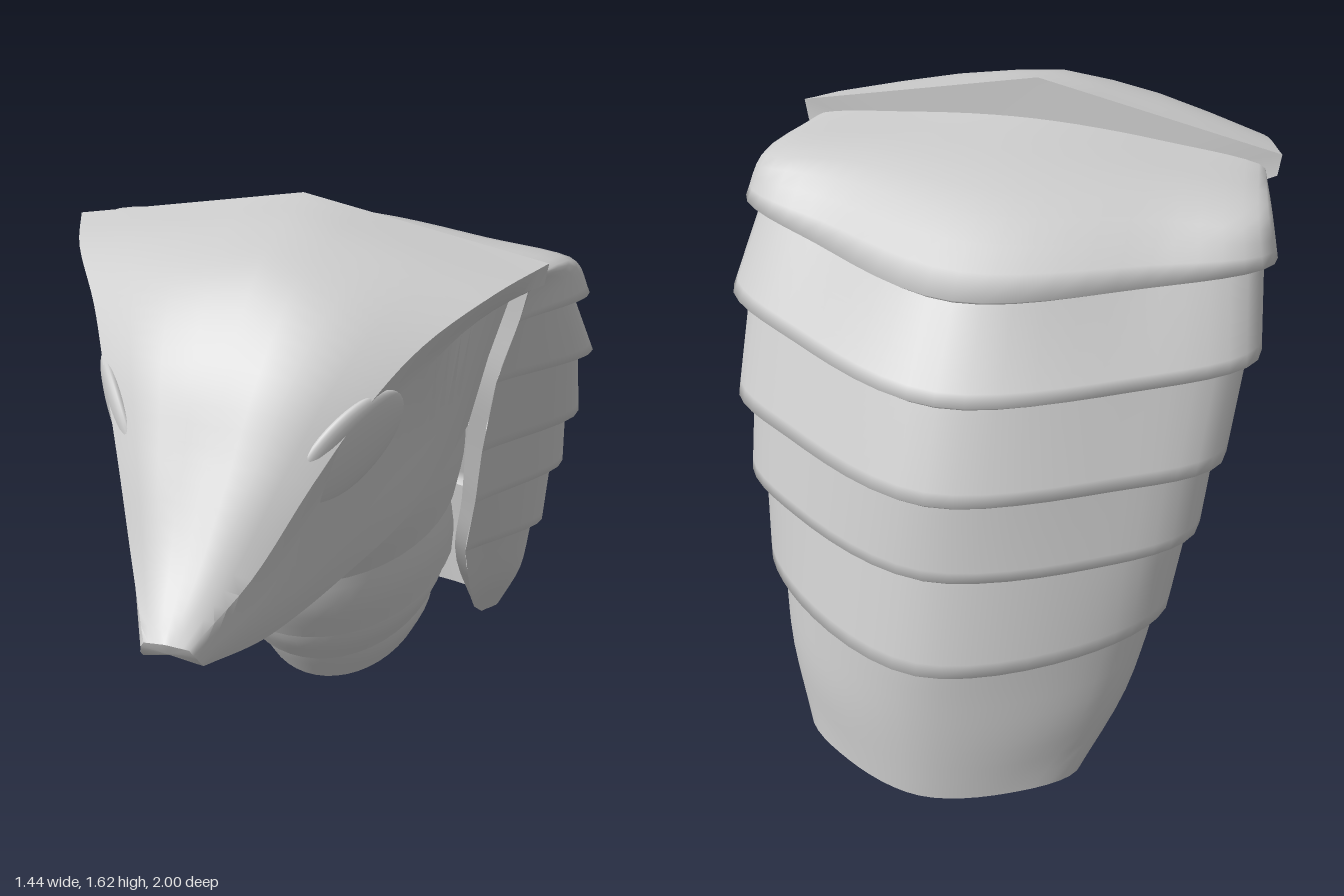
import * as THREE from 'three';
import { toCreasedNormals } from 'three/addons/utils/BufferGeometryUtils.js';

const V = (p) => new THREE.Vector3(...p);
const material = new THREE.MeshStandardMaterial({ color: 0xcccccc, side: THREE.DoubleSide });

// Surface through rows of points, all rows the same length
function loft(name, rows, crease) {
  const n = rows[0].length, index = [];
  for (let i = 0; i < rows.length - 1; i++) {
    for (let j = 0; j < n - 1; j++) {
      const a = i * n + j, b = a + n;
      index.push(a, b, a + 1, a + 1, b, b + 1);
    }
  }
  let geo = new THREE.BufferGeometry().setFromPoints(rows.flat());
  geo.setIndex(index);
  geo = toCreasedNormals(geo, crease);
  const mesh = new THREE.Mesh(geo, material);
  mesh.name = name;
  return mesh;
}

const smooth = (pts, n) => new THREE.CatmullRomCurve3(pts).getPoints(n);
const flip = (p) => new THREE.Vector3(-p.x, p.y, p.z);
// Half row ending on the centre line -> full row
const mirrored = (half) => [...half, ...half.slice(0, -1).reverse().map(flip)];

// Head: rails running from the back rim to the snout
function makeHead() {
  const rail = (pts) => smooth(pts.map(V), 30);
  const crown = rail([[0, 1.62, 0.02], [0, 1.58, 0.2], [0, 1.5, 0.38], [0, 1.32, 0.57], [0, 1.11, 0.71], [0, 0.91, 0.86], [0, 0.76, 1]]);
  const brow = rail([[0.67, 1.49, 0], [0.58, 1.46, 0.2], [0.45, 1.37, 0.39], [0.355, 1.25, 0.54], [0.26, 1.08, 0.68], [0.16, 0.88, 0.83], [0.06, 0.75, 0.99]]);
  const browUnder = rail([[0.66, 1.43, 0], [0.56, 1.41, 0.18], [0.43, 1.31, 0.37], [0.34, 1.19, 0.52], [0.255, 1.03, 0.66], [0.165, 0.85, 0.81], [0.07, 0.735, 0.985]]);
  const socket = rail([[0.57, 1.39, -0.01], [0.48, 1.32, 0.14], [0.38, 1.21, 0.35], [0.3, 1.09, 0.51], [0.235, 0.96, 0.64], [0.175, 0.81, 0.78], [0.075, 0.72, 0.975]]);
  const cheek = rail([[0.51, 1.2, -0.03], [0.46, 1.09, 0.14], [0.395, 1, 0.32], [0.325, 0.92, 0.48], [0.26, 0.83, 0.61], [0.19, 0.76, 0.75], [0.08, 0.705, 0.965]]);
  const jaw = rail([[0.455, 0.985, -0.05], [0.42, 0.89, 0.14], [0.36, 0.81, 0.3], [0.28, 0.74, 0.45], [0.21, 0.69, 0.6], [0.15, 0.665, 0.74], [0.08, 0.69, 0.95]]);
  const chin = rail([[0, 1, -0.03], [0, 0.93, 0.14], [0, 0.84, 0.32], [0, 0.76, 0.46], [0, 0.7, 0.6], [0, 0.68, 0.74], [0, 0.7, 0.94]]);
  const rows = crown.map((c, i) => {
    const bulge = 0.025 * Math.sin(Math.PI * i / 30);
    const top = [0.25, 0.5, 0.75].map((t) => {
      const p = brow[i].clone().lerp(c, t);
      p.y += bulge * Math.sin(Math.PI * t);
      p.z += bulge * Math.sin(Math.PI * t);
      return p;
    });
    return mirrored([chin[i], jaw[i], cheek[i], socket[i], browUnder[i], brow[i], ...top, c]);
  });
  // Close the snout tip and the back rim
  const hub = (row, z) => row.map(() => V([0, (row[0].y + row[9].y) / 2, z]));
  return loft('head', [hub(rows[0], -0.01), ...rows, hub(rows[30], 0.99)], 0.7);
}

// Hood: each ring runs front edge, side, rear side, centre of the back
const hoodRings = [
  [[0.62, 1.43, -0.02], [0.63, 1.45, -0.01], [0.35, 1.49, 0], [0, 1.515, -0.01]],
  [[0.59, 1.31, -0.03], [0.72, 1.32, -0.3], [0.44, 1.3, -0.49], [0, 1.29, -0.68]],
  [[0.53, 1.12, -0.05], [0.715, 1.11, -0.42], [0.45, 1.09, -0.64], [0, 1.07, -0.82]],
  [[0.48, 0.88, -0.12], [0.66, 0.87, -0.54], [0.43, 0.86, -0.74], [0, 0.84, -0.91]],
  [[0.45, 0.69, -0.18], [0.61, 0.68, -0.59], [0.4, 0.66, -0.79], [0, 0.64, -0.94]],
  [[0.4, 0.48, -0.28], [0.55, 0.46, -0.62], [0.38, 0.42, -0.84], [0, 0.39, -1]],
  [[0.35, 0.06, -0.7], [0.375, 0.04, -0.82], [0.22, 0.02, -0.94], [0, 0.005, -1]],
];
// Extra middle rings where a plate bulges between its edges
const hoodMiddles = {
  0: [[0.61, 1.38, -0.03], [0.69, 1.42, -0.25], [0.42, 1.45, -0.29], [0, 1.46, -0.38]],
  5: [[0.375, 0.25, -0.46], [0.47, 0.24, -0.7], [0.32, 0.21, -0.88], [0, 0.2, -0.995]],
};

const hoodRow = (pts) => smooth(mirrored(pts.map(V)), 36);
// Ring tucked in under the plate above; the front edge stays in line
const inset = (ring) => ring.map(([x, y, z], j) => (j ? [x * 0.945, y - 0.012, z + 0.015] : [x, y, z]));

function makeHood() {
  const hood = new THREE.Group();
  hood.name = 'hood';
  for (let i = 0; i < 6; i++) {
    const top = i ? inset(hoodRings[i]) : hoodRings[i];
    const columns = [top, hoodMiddles[i], hoodRings[i + 1]].filter(Boolean).map(hoodRow);
    // Smooth each column from top to bottom, then slope in under the edge
    const curves = columns[0].map((_, j) => smooth(columns.map((r) => r[j]), 8));
    const rows = curves[0].map((_, k) => curves.map((c) => c[k]));
    if (i < 5) rows.push(hoodRow(inset(hoodRings[i + 1])));
    hood.add(loft('hoodPlate', rows, 2.2));
  }
  // Narrow rim turned inwards along both front edges
  const edge = smooth(hoodRings.map((ring) => V(ring[0])), 30);
  const inner = edge.map((p, i) => new THREE.Vector3(p.x - 0.075 + 0.0015 * i, p.y, p.z - 0.02));
  hood.add(loft('leftHoodRim', [edge, inner], 1));
  hood.add(loft('rightHoodRim', [inner.map(flip), edge.map(flip)], 1));
  return hood;
}

// Throat: overlapping bands, each edge given as [width, front y, front z, back y, back z]
const throatPlates = [
  [[0.45, 0.84, 0.36, 1.0, -0.05], [0.435, 0.72, 0.35, 0.88, -0.09], [0.4, 0.575, 0.26, 0.73, -0.12]],
  [[0.37, 0.64, 0.24, 0.78, -0.15], [0.385, 0.47, 0.21, 0.62, -0.19], [0.37, 0.345, 0.15, 0.5, -0.23]],
  [[0.33, 0.41, 0.13, 0.54, -0.21], [0.34, 0.29, 0.085, 0.44, -0.26], [0.31, 0.21, 0.03, 0.37, -0.3]],
  [[0.26, 0.28, 0.03, 0.4, -0.28], [0.285, 0.17, -0.03, 0.3, -0.32], [0.25, 0.09, -0.08, 0.225, -0.35]],
];

function makeThroat() {
  const throat = new THREE.Group();
  throat.name = 'throat';
  const band = ([w, fy, fz, by, bz]) => Array.from({ length: 25 }, (_, j) => {
    const a = (j / 24 - 0.5) * Math.PI, t = Math.cos(a);
    return V([w * Math.sin(a), by + (fy - by) * t, bz + (fz - bz) * t]);
  });
  for (const plate of throatPlates) {
    const [a, b, c] = plate.map(band);
    const curves = a.map((p, j) => smooth([p, b[j], c[j]], 6));
    const rows = curves[0].map((_, k) => curves.map((curve) => curve[k]));
    // Narrow lip under the lower edge
    const [w, fy, fz, by, bz] = plate[2];
    rows.push(band([w - 0.03, fy + 0.01, fz - 0.03, by, bz]));
    throat.add(loft('throatPlate', rows, 0.8));
  }
  return throat;
}

// Eyes: flattened ovals tucked under the brow, tilted backwards
function makeEye(side) {
  const eye = new THREE.Mesh(new THREE.SphereGeometry(1, 32, 20), material);
  eye.name = side > 0 ? 'leftEye' : 'rightEye';
  eye.position.set(0.303 * side, 1.125, 0.535);
  eye.lookAt(1.153 * side, 0.865, 1.035);
  eye.rotateZ(-0.85 * side);
  eye.scale.set(0.12, 0.195, 0.036);
  return eye;
}

export function createModel() {
  const model = new THREE.Group();
  model.name = 'armouredHead';
  model.add(makeHead(), makeHood(), makeThroat(), makeEye(1), makeEye(-1));
  return model;
}
